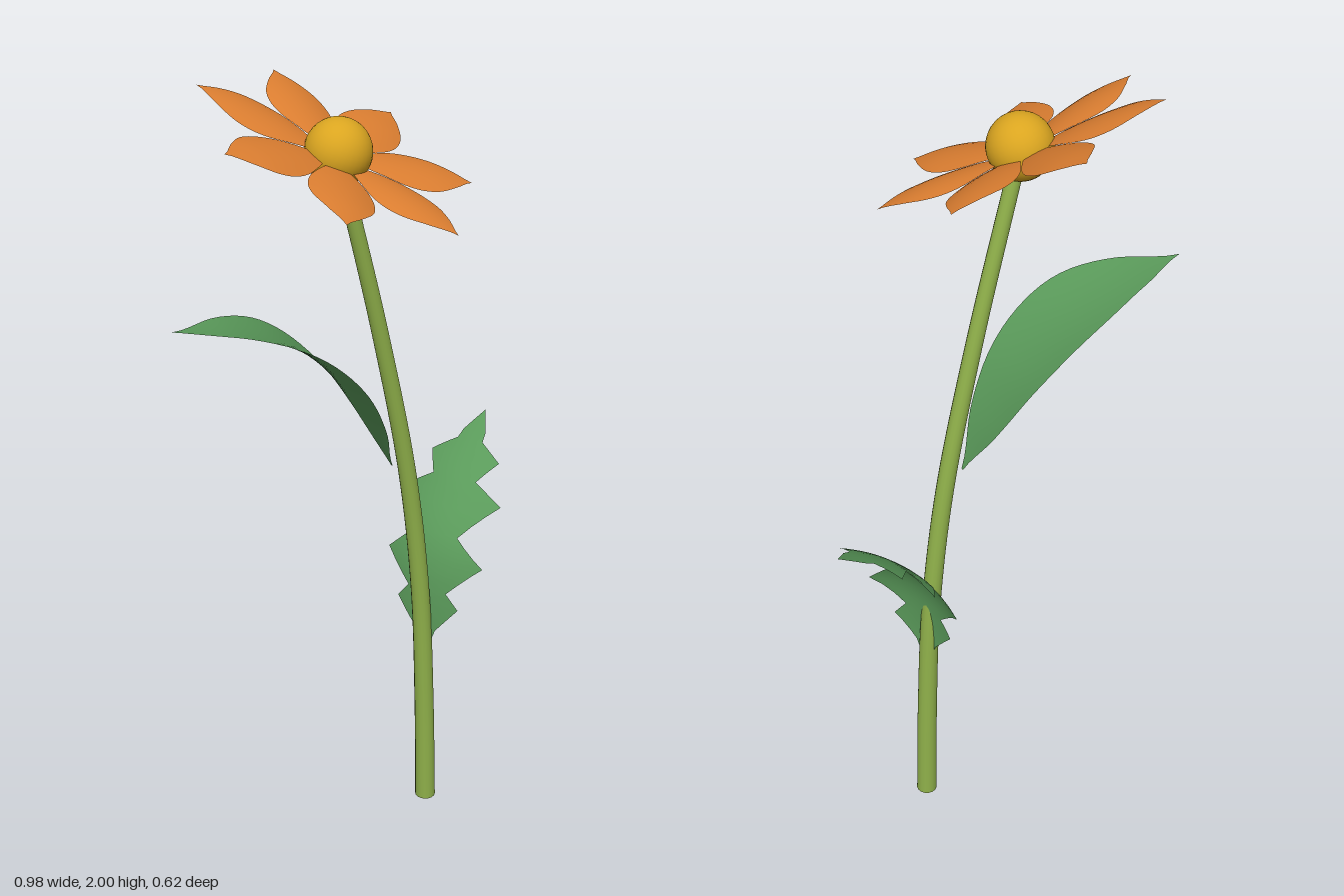
import * as THREE from 'three';

const V = (x, y, z) => new THREE.Vector3(x, y, z);
const mat = (name, color, side = THREE.FrontSide) => {
  const m = new THREE.MeshStandardMaterial({ color, side });
  m.name = name;
  return m;
};

// Thin blade swept along a midrib; width(t) is the half width, fold lifts (+) or droops (-) the edges
function bladeGeometry(points, rows, width, fold) {
  const curve = new THREE.CatmullRomCurve3(points);
  const run = points[points.length - 1].clone().sub(points[0]).setY(0).normalize();
  const side = V(0, 1, 0).cross(run);
  const cols = 8, pos = [], index = [];
  rows.forEach((t, r) => {
    const c = curve.getPointAt(t);
    const n = curve.getTangentAt(t).cross(side).normalize();
    const w = width(t);
    for (let k = 0; k <= cols; k++) {
      const s = (k / cols * 2 - 1) * w;
      const p = c.clone().addScaledVector(side, s).addScaledVector(n, fold * s * s);
      pos.push(p.x, p.y, p.z);
      if (r && k) {
        const d = r * (cols + 1) + k, b = d - cols - 1;
        index.push(b - 1, b, d - 1, b, d, d - 1);
      }
    }
  });
  const g = new THREE.BufferGeometry();
  g.setAttribute('position', new THREE.Float32BufferAttribute(pos, 3));
  g.setIndex(index);
  g.computeVertexNormals();
  return g;
}

const evenRows = n => Array.from({ length: n + 1 }, (_, i) => i / n);

// Smooth outline through evenly spaced half widths
function smoothWidth(widths) {
  const s = new THREE.SplineCurve(widths.map((w, i) => new THREE.Vector2(i / (widths.length - 1), w)));
  return t => Math.max(0, s.getPoint(t).y);
}

// Toothed outline through [t, half width] corners
function toothedWidth(corners) {
  return t => {
    const i = Math.max(1, corners.findIndex(c => c[0] >= t));
    const [t0, w0] = corners[i - 1], [t1, w1] = corners[i];
    return w0 + (w1 - w0) * (t - t0) / (t1 - t0);
  };
}

export function createModel() {
  const group = new THREE.Group();
  const stemMat = mat('stemGreen', 0x8fb04a);
  const leafMat = mat('leafGreen', 0x5a9a5a, THREE.DoubleSide);
  const petalMat = mat('petalOrange', 0xdd7f31, THREE.DoubleSide);
  const centreMat = mat('centreYellow', 0xdaa520);
  const add = (name, geo, m, parent = group) => {
    const mesh = new THREE.Mesh(geo, m);
    mesh.name = name;
    parent.add(mesh);
    return mesh;
  };

  // Stem: a tube narrowed toward the flower, closed at the foot
  const path = new THREE.CatmullRomCurve3([
    V(0.197, 0, 0), V(0.188, 0.3, 0), V(0.168, 0.65, 0), V(0.12, 1, 0),
    V(0.028, 1.4, 0), V(-0.09, 1.83, 0)]);
  const steps = 40, sides = 16;
  const stem = new THREE.TubeGeometry(path, steps, 0.027, sides);
  const p = stem.attributes.position;
  for (let i = 0; i < p.count; i++) {
    const t = Math.floor(i / (sides + 1)) / steps;
    const c = path.getPointAt(t);
    const v = V(0, 0, 0).fromBufferAttribute(p, i).sub(c).multiplyScalar(1 - 0.33 * t).add(c);
    p.setXYZ(i, v.x, Math.max(0, v.y), v.z);
  }
  add('stem', stem, stemMat);
  const foot = add('stemFoot', new THREE.CircleGeometry(0.027, sides), stemMat);
  foot.rotation.x = Math.PI / 2;
  foot.position.set(0.197, 0.0005, 0);

  // Upper leaf with a smooth edge
  add('smoothLeaf', bladeGeometry([
    V(0.068, 1.04, 0), V(0, 1.18, -0.013), V(-0.08, 1.3, -0.028),
    V(-0.2, 1.41, -0.051), V(-0.33, 1.472, -0.075), V(-0.49, 1.5, -0.105)],
  evenRows(30), smoothWidth([0.004, 0.068, 0.108, 0.126, 0.118, 0.07, 0]), 0.9), leafMat);

  // Lower leaf with a toothed edge
  const teeth = [[0, 0.004], [0.1, 0.03], [0.2, 0.088], [0.26, 0.055], [0.38, 0.137], [0.48, 0.062],
    [0.64, 0.14], [0.7, 0.062], [0.8, 0.098], [0.86, 0.036], [0.9, 0.032], [1, 0]];
  const toothRows = teeth.flatMap(([t], i) =>
    i ? [1, 2, 3].map(k => teeth[i - 1][0] + (t - teeth[i - 1][0]) * k / 3) : [t]);
  toothRows[toothRows.length - 1] = 1;
  add('toothedLeaf', bladeGeometry([
    V(0.186, 0.46, 0), V(0.186, 0.6, 0), V(0.2, 0.72, -0.004), V(0.235, 0.805, -0.016),
    V(0.3, 0.89, -0.039), V(0.375, 0.96, -0.066), V(0.487, 1.035, -0.105)],
  toothRows, t => toothedWidth(teeth)(Math.min(t, 1)), -1.8), leafMat);

  // Flower head tilted toward the front
  const flower = new THREE.Group();
  flower.name = 'flower';
  flower.position.set(-0.095, 1.858, 0);
  flower.quaternion.setFromUnitVectors(V(0, 1, 0), V(0.217, 1, 0.4).normalize());
  group.add(flower);
  add('flowerCentre', new THREE.SphereGeometry(0.077, 32, 20), centreMat, flower);

  const petal = bladeGeometry([
    V(0.045, -0.012, 0), V(0.14, 0.002, 0), V(0.24, 0.008, 0), V(0.342, 0.003, 0)],
  evenRows(20), smoothWidth([0.018, 0.044, 0.068, 0.077, 0.068, 0.038, 0]), -2.2);
  for (let i = 0; i < 7; i++) {
    add('petal' + (i + 1), petal, petalMat, flower).rotation.y = -(22 * Math.PI / 180 + i * Math.PI * 2 / 7);
  }
  return group;
}
